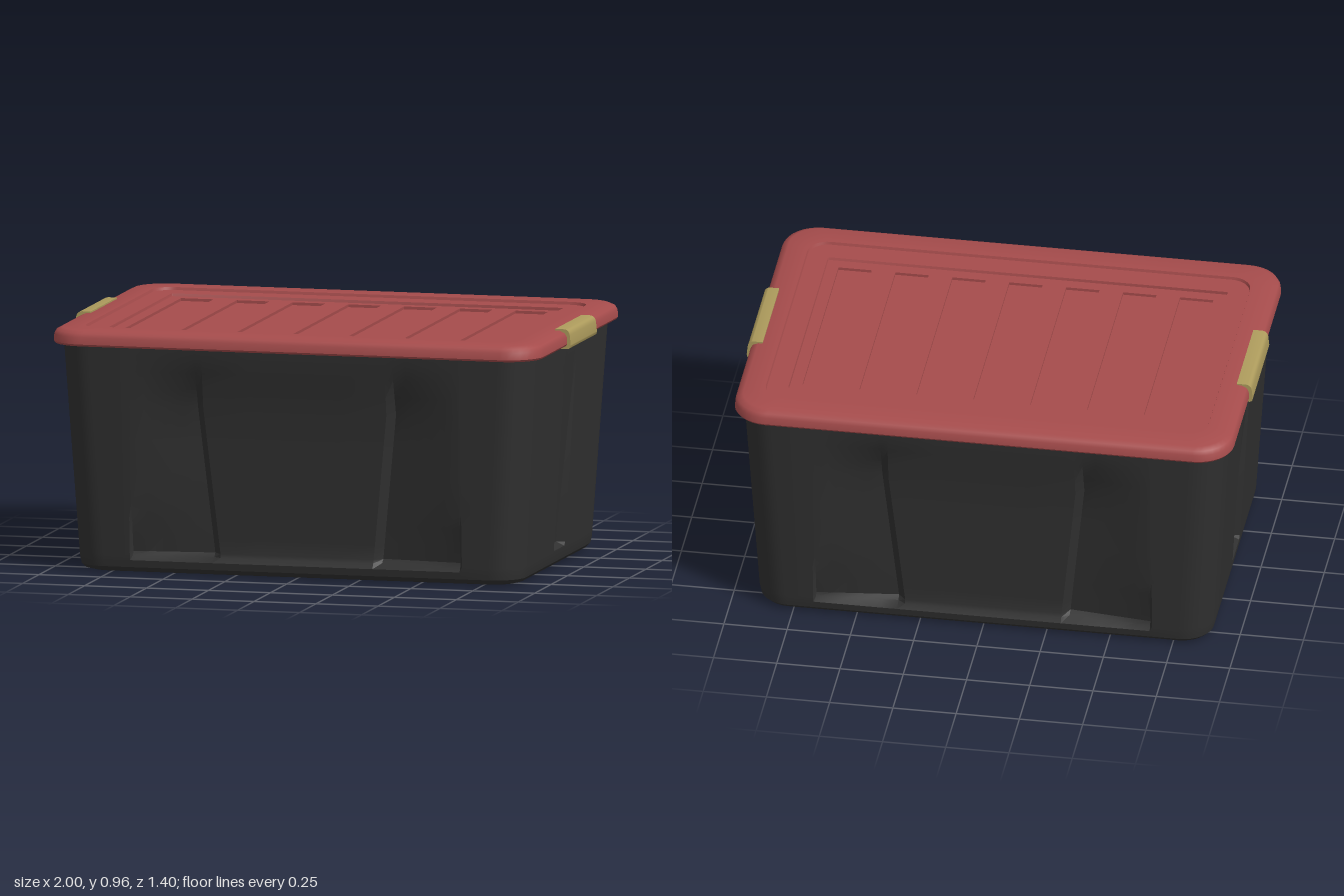
import * as THREE from 'three';
import { toCreasedNormals } from 'three/addons/utils/BufferGeometryUtils.js';

const { lerp, clamp } = THREE.MathUtils;
const ramp = (v, a, b) => clamp((v - a) / (b - a), 0, 1);
const mirrorList = (list) => [...list.map((v) => -v).reverse(), 0, ...list];

// One rounded-rectangle ring, counter-clockwise from above.
// stops(k, y): extra points along side k; dent(k, s, y): inward push there.
function ring({ hx, hz, r, y }, stops, dent) {
  const pts = [];
  const steps = 8;
  for (let k = 0; k < 4; k++) {
    const sx = k === 0 || k === 3 ? 1 : -1;
    const sz = k < 2 ? -1 : 1;
    for (let i = 0; i <= steps; i++) {
      const a = (k + i / steps) * Math.PI / 2;
      pts.push([sx * (hx - r) + r * Math.cos(a), y, sz * (hz - r) - r * Math.sin(a)]);
    }
    const a = (k + 1) * Math.PI / 2;
    const c = Math.cos(a), n = Math.sin(a);
    for (const s of stops ? stops(k, y) : []) {
      const h = (k % 2 ? hx : hz) - dent(k, s, y);
      pts.push([c * h - n * s, y, -n * h - c * s]);
    }
  }
  return pts;
}

// Skin between successive rings, optionally closing the first one.
function loft(rows, { stops, dent, closeStart = false, crease = 0.45 } = {}) {
  const rings = rows.map((row) => ring(row, stops, dent));
  const n = rings[0].length;
  const index = [];
  for (let i = 0; i < rings.length - 1; i++) {
    for (let j = 0; j < n; j++) {
      const a = i * n + j, b = i * n + (j + 1) % n;
      index.push(a, b, b + n, a, b + n, a + n);
    }
  }
  const pos = rings.flat();
  if (closeStart) {
    pos.push([0, rows[0].y, 0]);
    for (let j = 0; j < n; j++) index.push(pos.length - 1, (j + 1) % n, j);
  }
  const g = new THREE.BufferGeometry();
  g.setAttribute('position', new THREE.Float32BufferAttribute(pos.flat(), 3));
  g.setIndex(index);
  return toCreasedNormals(g, crease);
}

// Long sides: a label panel between two scoops. Short sides: a tapering groove.
const panelHalf = (y) => 0.3 + 0.105 * clamp(y, 0.08, 0.66);
function bodyStops(k, y) {
  if (k % 2) return mirrorList([0.04, 0.075, 0.085, 0.2, 0.35]);
  const p = panelHalf(y);
  const list = [p / 2, p, p + 0.03];
  for (let i = 1; i <= 5; i++) list.push(lerp(p + 0.03, 0.66, i / 5));
  return mirrorList([...list, 0.67]);
}
function bodyDent(k, s, y) {
  const a = Math.abs(s);
  if (k % 2) {
    const depth = 0.035 * ramp(y, 0.07, 0.085) * (1 - ramp(y, 0.1, 0.85));
    return depth * (1 - ramp(a, 0.075, 0.085));
  }
  const fade = ramp(y, 0.05, 0.08) * (1 - ramp(y, 0.66, 0.86));
  const p = panelHalf(y);
  if (a <= p) return 0.02 * fade;
  if (a <= p + 0.03) return lerp(0.02, 0.055, (a - p) / 0.03) * fade;
  const lip = 0.02 * (1 - ramp(y, 0.08, 0.28));
  return a >= 0.67 ? 0 : lerp(0.055, lip, ramp(a, p + 0.03, 0.66)) * fade;
}

function rectPath(path, x0, x1, z0, z1) {
  path.moveTo(x0, -z1);
  path.lineTo(x1, -z1);
  path.lineTo(x1, -z0);
  path.lineTo(x0, -z0);
  path.closePath();
  return path;
}

export function createModel() {
  const model = new THREE.Group();
  const black = new THREE.MeshStandardMaterial({ color: 0x303030, name: 'black plastic' });
  const red = new THREE.MeshStandardMaterial({ color: 0xa64c4c, name: 'red plastic' });
  const tan = new THREE.MeshStandardMaterial({ color: 0xad9b5c, name: 'tan plastic' });
  const add = (name, geometry, material, parent = model) => {
    const mesh = new THREE.Mesh(geometry, material);
    mesh.name = name;
    parent.add(mesh);
    return mesh;
  };

  // Tapered tub with a raised foot around the underside
  const rows = [
    { hx: 0.79, hz: 0.5, r: 0.05, y: 0.012 },
    { hx: 0.8, hz: 0.51, r: 0.05, y: 0 },
    { hx: 0.855, hz: 0.565, r: 0.09, y: 0 },
    { hx: 0.88, hz: 0.592, r: 0.11, y: 0.007 },
    { hx: 0.894, hz: 0.606, r: 0.12, y: 0.022 },
  ];
  for (const y of [0.05, 0.07, 0.085, 0.15, 0.22, 0.28, 0.4, 0.53, 0.66, 0.73, 0.8, 0.86, 0.925]) {
    rows.push({ hx: 0.897 + 0.06 * y, hz: 0.608 + 0.06 * y, r: 0.125, y });
  }
  add('tub', loft(rows, { stops: bodyStops, dent: bodyDent, closeStart: true }), black);

  // Lid: rolled rim, then two steps down to the ribbed centre
  const lid = new THREE.Group();
  lid.name = 'lid';
  model.add(lid);
  add('lidRim', loft([
    { hx: 0.93, hz: 0.645, r: 0.1, y: 0.91 },
    { hx: 0.95, hz: 0.665, r: 0.11, y: 0.897 },
    { hx: 0.98, hz: 0.694, r: 0.135, y: 0.897 },
    { hx: 0.986, hz: 0.7, r: 0.14, y: 0.905 },
    { hx: 0.984, hz: 0.698, r: 0.14, y: 0.932 },
    { hx: 0.976, hz: 0.69, r: 0.135, y: 0.947 },
    { hx: 0.955, hz: 0.67, r: 0.12, y: 0.957 },
    { hx: 0.875, hz: 0.577, r: 0.08, y: 0.957 },
    { hx: 0.872, hz: 0.574, r: 0.08, y: 0.946 },
    { hx: 0.79, hz: 0.482, r: 0.004, y: 0.946 },
    { hx: 0.788, hz: 0.48, r: 0.004, y: 0.935 },
  ], { crease: 0.7 }), red, lid);

  // Centre panel with seven long slots over a floor plate
  const panel = rectPath(new THREE.Shape(), -0.79, 0.79, -0.482, 0.482);
  for (let i = -3; i <= 3; i++) {
    const x = i * 0.225;
    panel.holes.push(rectPath(new THREE.Path(), x - 0.066, x + 0.066, -0.437, 0.432));
  }
  const slotted = new THREE.ExtrudeGeometry(panel, { depth: 0.012, bevelEnabled: false });
  add('slottedPanel', slotted.rotateX(-Math.PI / 2).translate(0, 0.923, 0), red, lid);
  add('slotFloor', new THREE.BoxGeometry(1.57, 0.008, 0.955).translate(0, 0.92, 0), red, lid);

  // Hooked clip wrapped over the rim at each end
  const hook = new THREE.Shape();
  hook.moveTo(0.955, 0.885);
  hook.lineTo(0.988, 0.885);
  hook.quadraticCurveTo(1, 0.888, 1, 0.902);
  hook.lineTo(0.996, 0.94);
  hook.quadraticCurveTo(0.992, 0.962, 0.972, 0.963);
  hook.lineTo(0.937, 0.963);
  hook.lineTo(0.937, 0.95);
  hook.lineTo(0.955, 0.95);
  hook.closePath();
  const clip = new THREE.ExtrudeGeometry(hook, { depth: 0.4, bevelEnabled: false, curveSegments: 6 });
  const clipGeometry = toCreasedNormals(clip.translate(0, 0, -0.2), 0.6);
  add('leftClip', clipGeometry, tan);
  add('rightClip', clipGeometry, tan).rotation.y = Math.PI;

  return model;
}
